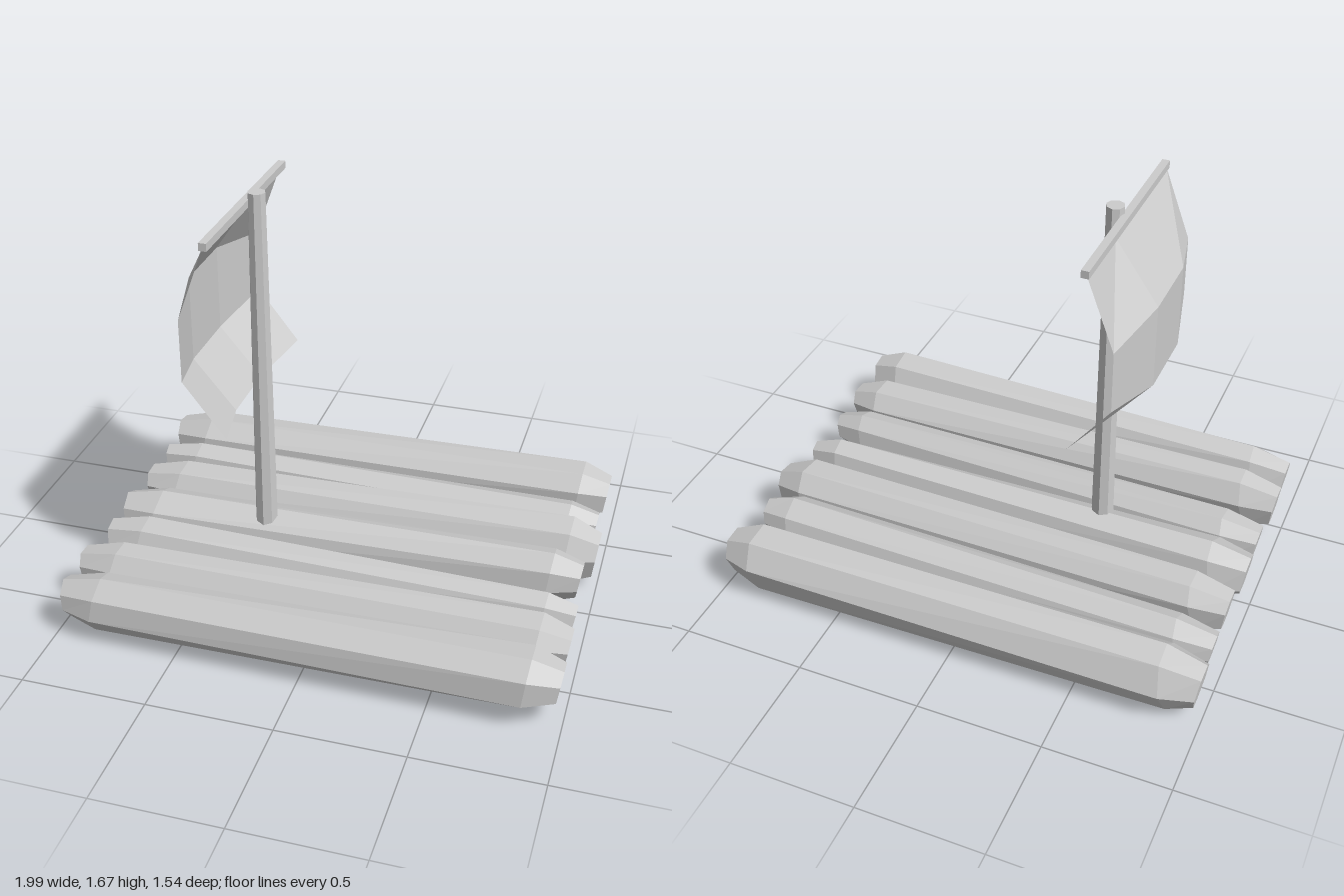
import * as THREE from 'three';

const material = new THREE.MeshStandardMaterial({ color: 0xcccccc, flatShading: true });
const sheetMaterial = new THREE.MeshStandardMaterial({
  color: 0xcccccc, flatShading: true, side: THREE.DoubleSide,
});
const SIDES = 7;

function add(group, geometry, name, mat = material) {
  const mesh = new THREE.Mesh(geometry, mat);
  mesh.name = name;
  group.add(mesh);
  return mesh;
}

function build(points, index) {
  const geometry = new THREE.BufferGeometry();
  geometry.setAttribute('position', new THREE.Float32BufferAttribute(points.flat(), 3));
  geometry.setIndex(index);
  const flat = geometry.toNonIndexed();
  flat.computeVertexNormals();
  return flat;
}

// Irregular polygon in the yz plane, fitted to the box [z0, z1, y0, y1]
function ring(x, [z0, z1, y0, y1], phase, slant = 0) {
  const raw = [];
  for (let j = 0; j < SIDES; j++) {
    const a = phase + (j / SIDES) * Math.PI * 2 + 0.12 * Math.sin(j * 2.3 + phase * 5);
    raw.push([Math.cos(a), Math.sin(a)]);
  }
  const fit = (k, lo, hi) => {
    const v = raw.map((p) => p[k]);
    const min = Math.min(...v), max = Math.max(...v);
    return v.map((t) => THREE.MathUtils.mapLinear(t, min, max, lo, hi));
  };
  const ys = fit(0, y0, y1), zs = fit(1, z0, z1);
  return ys.map((y, j) => [x + slant * raw[j][0], y, zs[j]]);
}

const lerpBox = ([z0, z1, y0, y1], s) => {
  const cz = (z0 + z1) / 2, cy = (y0 + y1) / 2;
  return [cz + (z0 - cz) * s, cz + (z1 - cz) * s, cy + (y0 - cy) * s, cy + (y1 - cy) * s];
};

// Log with a chamfered tip at each end
function logGeometry({ ends, left, right, phase }) {
  const rings = [
    ring(ends[0], lerpBox(left, 0.7), phase, -0.012),
    ring(ends[0] + 0.13, left, phase, 0.02),
    ring(ends[1] - 0.12, right, phase + 0.12, 0.015),
    ring(ends[1], lerpBox(right, 0.66), phase + 0.12, 0.012),
  ];
  const points = rings.flat();
  const index = [];
  for (let r = 0; r < rings.length - 1; r++) {
    for (let j = 0; j < SIDES; j++) {
      const a = r * SIDES + j, b = r * SIDES + ((j + 1) % SIDES);
      index.push(a, b, a + SIDES, b, b + SIDES, a + SIDES);
    }
  }
  const last = (rings.length - 1) * SIDES;
  for (let j = 1; j < SIDES - 1; j++) {
    index.push(0, j + 1, j, last, last + j, last + j + 1);
  }
  return build(points, index);
}

// Each box is [zMin, zMax, yMin, yMax]
const logs = [
  { ends: [-0.98, 0.97], left: [-0.755, -0.52, 0.03, 0.28], right: [-0.775, -0.54, 0.025, 0.28], phase: 0.2 },
  { ends: [-0.965, 0.955], left: [-0.515, -0.345, 0.04, 0.25], right: [-0.5, -0.31, 0.045, 0.255], phase: 0.9 },
  { ends: [-0.96, 0.988], left: [-0.31, -0.115, 0.03, 0.26], right: [-0.315, -0.095, 0, 0.285], phase: 0.5 },
  { ends: [-0.97, 0.95], left: [-0.1, 0.125, 0.03, 0.27], right: [-0.09, 0.08, 0.035, 0.275], phase: 0 },
  { ends: [-0.96, 0.965], left: [0.12, 0.305, 0.03, 0.25], right: [0.165, 0.33, 0.04, 0.245], phase: 0.7 },
  { ends: [-0.97, 0.975], left: [0.355, 0.54, 0.03, 0.27], right: [0.335, 0.54, 0.04, 0.265], phase: 0.35 },
  { ends: [-0.96, 0.98], left: [0.545, 0.745, 0.025, 0.27], right: [0.54, 0.77, 0.04, 0.285], phase: 0.1 },
];

// Billowed sheet: the middle columns bulge further than the edges
function sailGeometry() {
  const edge = [[-0.395, 1.615], [-0.5, 1.33], [-0.5, 1.08], [-0.335, 0.865]];
  const middle = [[-0.395, 1.615], [-0.565, 1.37], [-0.565, 1.03], [-0.4, 0.83]];
  const columns = [[-0.37, edge], [-0.09, middle], [0.2, middle], [0.475, edge]];
  const points = columns.flatMap(([z, profile]) => profile.map(([x, y]) => [x, y, z]));
  const index = [];
  for (let c = 0; c < 3; c++) {
    for (let r = 0; r < 3; r++) {
      const a = c * 4 + r;
      index.push(a, a + 1, a + 4, a + 1, a + 5, a + 4);
    }
  }
  return build(points, index);
}

export function createModel() {
  const model = new THREE.Group();
  model.name = 'raft';

  // Deck of logs
  const deck = new THREE.Group();
  deck.name = 'deck';
  logs.forEach((spec, i) => add(deck, logGeometry(spec), `log${i + 1}`));
  model.add(deck);

  // Tapered mast
  const mast = add(model, new THREE.CylinderGeometry(0.035, 0.047, 1.45, 8), 'mast');
  mast.position.set(-0.348, 0.945, 0.035);

  // Yard and sail
  const yard = add(model, new THREE.BoxGeometry(0.03, 0.03, 0.86), 'yard');
  yard.position.set(-0.39, 1.627, 0.051);
  add(model, sailGeometry(), 'sail', sheetMaterial);

  return model;
}
